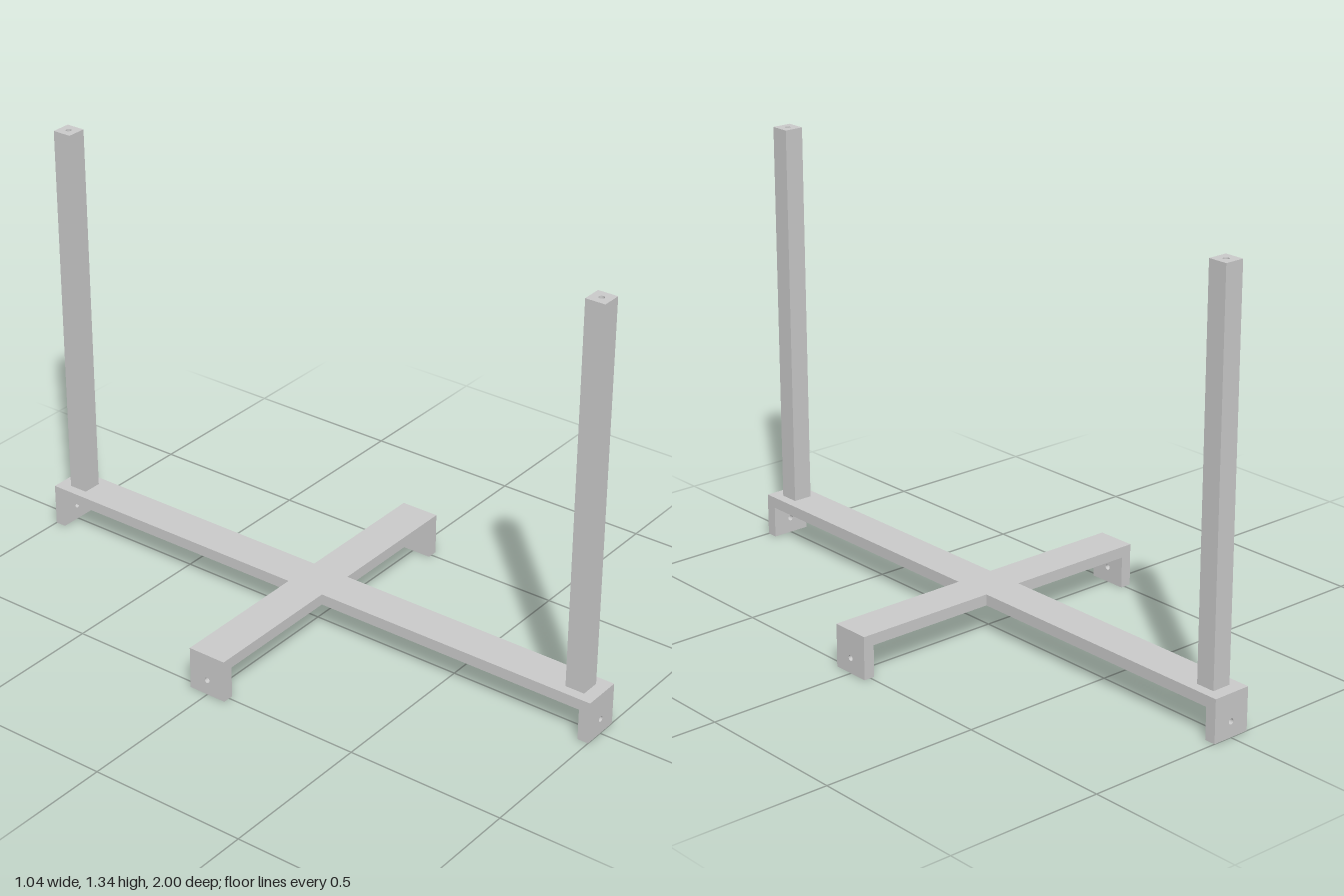
import * as THREE from 'three';

const material = new THREE.MeshStandardMaterial({ color: 0xcccccc, flatShading: true });

const HALF = 0.0625;      // half width of the base bars
const T = 0.035;          // bar and foot thickness
const TOP = 0.134;        // top of the base
const UNDER = TOP - T;    // underside of the bars
const LONG = 1, SHORT = 0.522;
const POST = 0.031, POST_TOP = 1.341, POST_Z = 0.929;
const HOLE_R = 0.009, HOLE_DEPTH = 0.12;

function extrude(points, depth, hole) {
  const shape = new THREE.Shape(points.map(([x, y]) => new THREE.Vector2(x, y)));
  if (hole) {
    const path = new THREE.Path();
    path.absarc(hole[0], hole[1], HOLE_R, 0, Math.PI * 2, true);
    shape.holes.push(path);
  }
  return new THREE.ExtrudeGeometry(shape, { depth, bevelEnabled: false, curveSegments: 12 });
}

const rect = (x, y0, y1) => [[-x, y0], [x, y0], [x, y1], [-x, y1]];

function addMesh(parent, name, geometry) {
  const mesh = new THREE.Mesh(geometry, material);
  mesh.name = name;
  parent.add(mesh);
  return mesh;
}

export function createModel() {
  const model = new THREE.Group();
  model.name = 'crossBaseStand';

  // Flat cross-shaped base
  const h = HALF;
  const cross = extrude([
    [h, -LONG], [h, -h], [SHORT, -h], [SHORT, h], [h, h], [h, LONG],
    [-h, LONG], [-h, h], [-SHORT, h], [-SHORT, -h], [-h, -h], [-h, -LONG],
  ], T).rotateX(-Math.PI / 2);
  addMesh(model, 'crossBase', cross).position.y = UNDER;

  // Drilled foot plate at the end of each arm
  const footGeometry = extrude(rect(HALF, 0, UNDER), T, [0, 0.048]);
  const feet = [['frontFoot', LONG], ['leftFoot', SHORT], ['backFoot', LONG], ['rightFoot', SHORT]];
  feet.forEach(([name, reach], i) => {
    const arm = new THREE.Group();
    arm.name = name;
    arm.rotation.y = i * Math.PI / 2;
    addMesh(arm, name + 'Plate', footGeometry).position.z = reach - T;
    model.add(arm);
  });

  // Square uprights, each with a blind hole in its top
  const lowerHeight = POST_TOP - HOLE_DEPTH - TOP;
  const lower = new THREE.BoxGeometry(POST * 2, lowerHeight, POST * 2);
  const upper = extrude(rect(POST, -POST, POST), HOLE_DEPTH, [0, 0]).rotateX(-Math.PI / 2);
  for (const [name, side] of [['frontPost', 1], ['backPost', -1]]) {
    const post = new THREE.Group();
    post.name = name;
    post.position.set(0, TOP, side * POST_Z);
    addMesh(post, name + 'Shaft', lower).position.y = lowerHeight / 2;
    addMesh(post, name + 'DrilledEnd', upper).position.y = lowerHeight;
    model.add(post);
  }

  return model;
}
